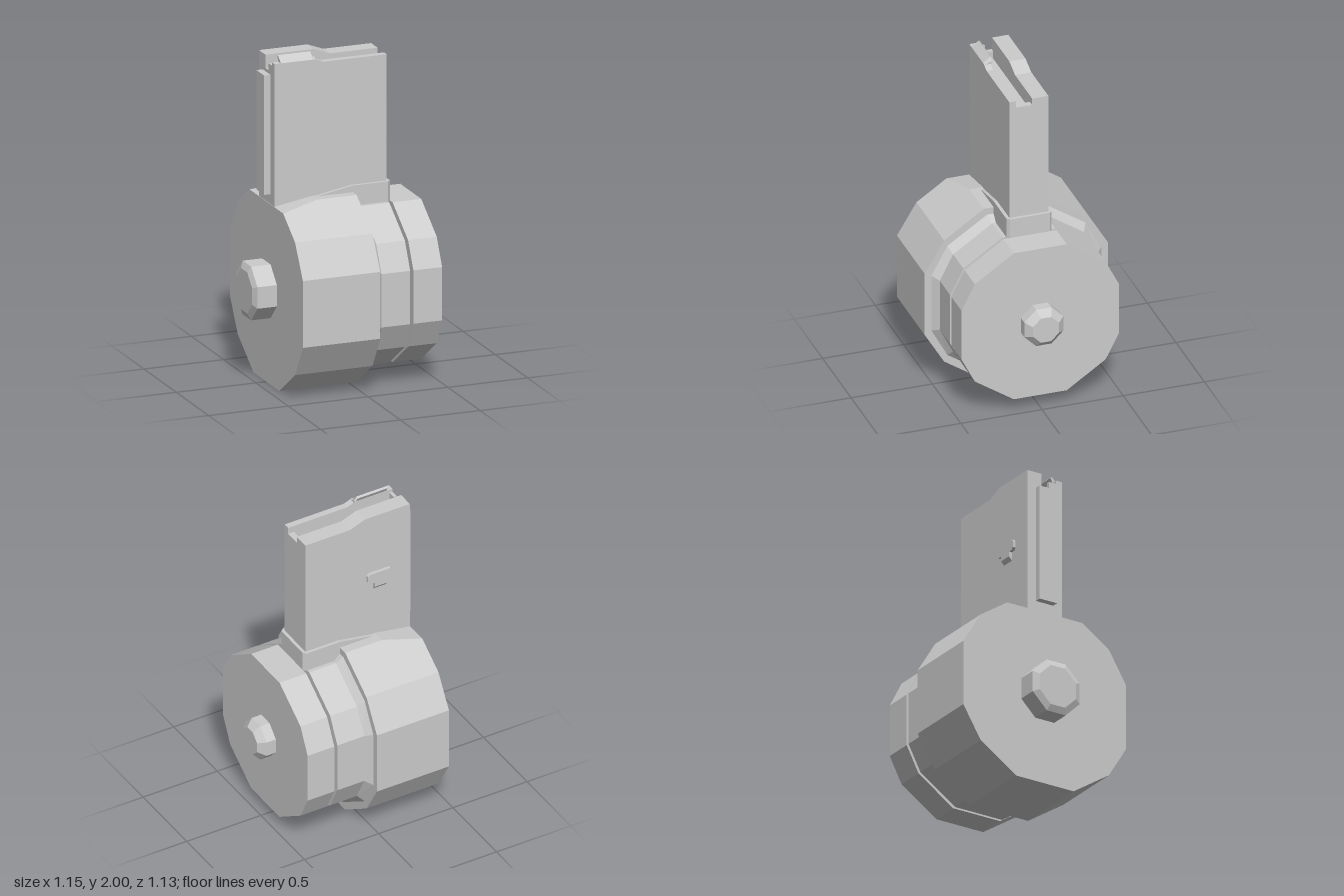
import * as THREE from 'three';

const mat = new THREE.MeshStandardMaterial({ color: 0xcccccc, flatShading: true });

function add(parent, name, geometry) {
  const mesh = new THREE.Mesh(geometry, mat);
  mesh.name = name;
  parent.add(mesh);
  return mesh;
}

// Box given by its min and max corners
function block(parent, name, x0, x1, y0, y1, z0, z1) {
  const mesh = add(parent, name, new THREE.BoxGeometry(x1 - x0, y1 - y0, z1 - z0));
  mesh.position.set((x0 + x1) / 2, (y0 + y1) / 2, (z0 + z1) / 2);
}

// Side profile in xy, extruded from z0 to z1
function plate(parent, name, points, z0, z1) {
  const shape = new THREE.Shape(points.map(([x, y]) => new THREE.Vector2(x, y)));
  const geo = new THREE.ExtrudeGeometry(shape, { depth: z1 - z0, bevelEnabled: false });
  add(parent, name, geo.translate(0, 0, z0));
}

// Skin over [z, y] loops standing at rising x, capped at both ends
function loft(sections) {
  const pos = [];
  const tri = (...v) => v.forEach(p => pos.push(...p));
  const rings = sections.map(([x, loop]) => loop.map(([z, y]) => [x, y, z]));
  const n = rings[0].length;
  for (let s = 0; s < rings.length - 1; s++) {
    for (let i = 0; i < n; i++) {
      const j = (i + 1) % n, a = rings[s], b = rings[s + 1];
      tri(a[i], a[j], b[i]);
      tri(a[j], b[j], b[i]);
    }
  }
  const first = rings[0], last = rings[rings.length - 1];
  for (let i = 1; i < n - 1; i++) {
    tri(first[0], first[i + 1], first[i]);
    tri(last[0], last[i], last[i + 1]);
  }
  const geo = new THREE.BufferGeometry();
  geo.setAttribute('position', new THREE.Float32BufferAttribute(pos, 3));
  geo.computeVertexNormals();
  return geo;
}

// Mirror the points of one quadrant into a closed loop around the drum axis
const AXIS = 0.5675;
function ring(quarter, top = quarter[0]) {
  const upper = [top, ...quarter.slice(1)];
  const back = [...quarter].reverse();
  return [
    ...upper.map(([z, y]) => [z, AXIS + y]),
    ...back.map(([z, y]) => [z, AXIS - y]),
    ...quarter.map(([z, y]) => [-z, AXIS - y]),
    ...[...upper].reverse().map(([z, y]) => [-z, AXIS + y]),
  ];
}
const octagon = r => ring([[r * 0.4, r], [r, r * 0.4]]);
const rect = (z, y0, y1) => [[z, y1], [z, y0], [-z, y0], [-z, y1]];

export function createModel() {
  const model = new THREE.Group();
  model.name = 'drumMagazine';

  // Drum sections; the large one has its top cut down toward the rear
  const drum = new THREE.Group();
  drum.name = 'drum';
  model.add(drum);
  const big = [[0.2, 0.5675], [0.445, 0.402], [0.565, 0.203]];
  const mid = [[0.18, 0.525], [0.425, 0.362], [0.523, 0.182]];
  const small = [[0.163, 0.485], [0.403, 0.323], [0.485, 0.162]];
  add(drum, 'largeDrum', loft([[-0.435, ring(big, [0.26, 0.527])], [-0.2, ring(big)], [0.05, ring(big)]]));
  add(drum, 'drumShoulder', loft([[0.04, ring(mid)], [0.05, ring(mid)], [0.09, ring(small)]]));
  add(drum, 'innerDrum', loft([[0.08, ring(small)], [0.27, ring(small)]]));
  add(drum, 'outerDrum', loft([[0.29, ring(small)], [0.47, ring(small)]]));

  // Axle through the gap, ending in a chamfered hub, and the larger rear knob
  add(drum, 'axleHub', loft([[0.26, octagon(0.12)], [0.532, octagon(0.12)], [0.573, octagon(0.08)]]));
  add(drum, 'rearKnob', loft([[-0.575, octagon(0.125)], [-0.557, octagon(0.163)], [-0.42, octagon(0.163)]]));

  // Sloped collar where the tower meets the drum
  add(model, 'collar', loft([
    [-0.17, rect(0.14, 1.05, 1.136)],
    [0.05, rect(0.14, 1.05, 1.175)],
    [0.272, rect(0.14, 1.05, 1.175)],
    [0.29, rect(0.122, 1.05, 1.175)],
  ]));

  // Feed tower with an open trough along the top
  const tower = new THREE.Group();
  tower.name = 'feedTower';
  model.add(tower);
  const FLOOR = 1.85;
  block(tower, 'towerBody', -0.433, 0.27, 1.06, FLOOR, -0.12, 0.12);
  plate(tower, 'rearWall', [
    [-0.433, FLOOR], [0.27, FLOOR], [0.27, 1.942], [-0.03, 1.942], [-0.13, 1.98], [-0.433, 1.98],
  ], -0.12, -0.02);
  plate(tower, 'frontWall', [
    [-0.433, FLOOR], [0.27, FLOOR], [0.27, 1.942], [-0.13, 1.942], [-0.18, 1.962], [-0.433, 1.962],
  ], 0.08, 0.12);
  block(tower, 'troughEnd', 0.23, 0.27, FLOOR, 1.9, -0.02, 0.08);
  block(tower, 'troughEnd', -0.433, -0.413, FLOOR, 1.9, -0.02, 0.08);
  block(tower, 'endStop', -0.433, -0.413, 1.9, 1.942, 0.03, 0.08);

  // Feed lip leaning in over the trough
  add(tower, 'feedLip', loft([
    [-0.393, [[0.066, 1.99], [0.076, 2], [0.12, 1.962], [0.085, 1.955]]],
    [-0.19, [[0.066, 1.99], [0.076, 2], [0.12, 1.962], [0.085, 1.955]]],
    [-0.173, [[0.066, 1.97], [0.076, 1.975], [0.12, 1.958], [0.085, 1.95]]],
  ]));

  // Spine rib
  block(tower, 'spineRib', -0.473, -0.43, 1.155, 1.88, -0.06, 0.06);

  // T-shaped catch with a tapering lower end
  plate(tower, 'catchBar', [
    [-0.31, 1.53], [-0.295, 1.515], [-0.155, 1.515], [-0.14, 1.53],
    [-0.14, 1.57], [-0.155, 1.583], [-0.295, 1.583], [-0.31, 1.57],
  ], -0.14, -0.11);
  add(tower, 'catchStem', loft([
    [-0.27, [[-0.11, 1.53], [-0.11, 1.45], [-0.14, 1.485], [-0.14, 1.53]]],
    [-0.185, [[-0.11, 1.53], [-0.11, 1.45], [-0.14, 1.485], [-0.14, 1.53]]],
  ]));

  return model;
}
